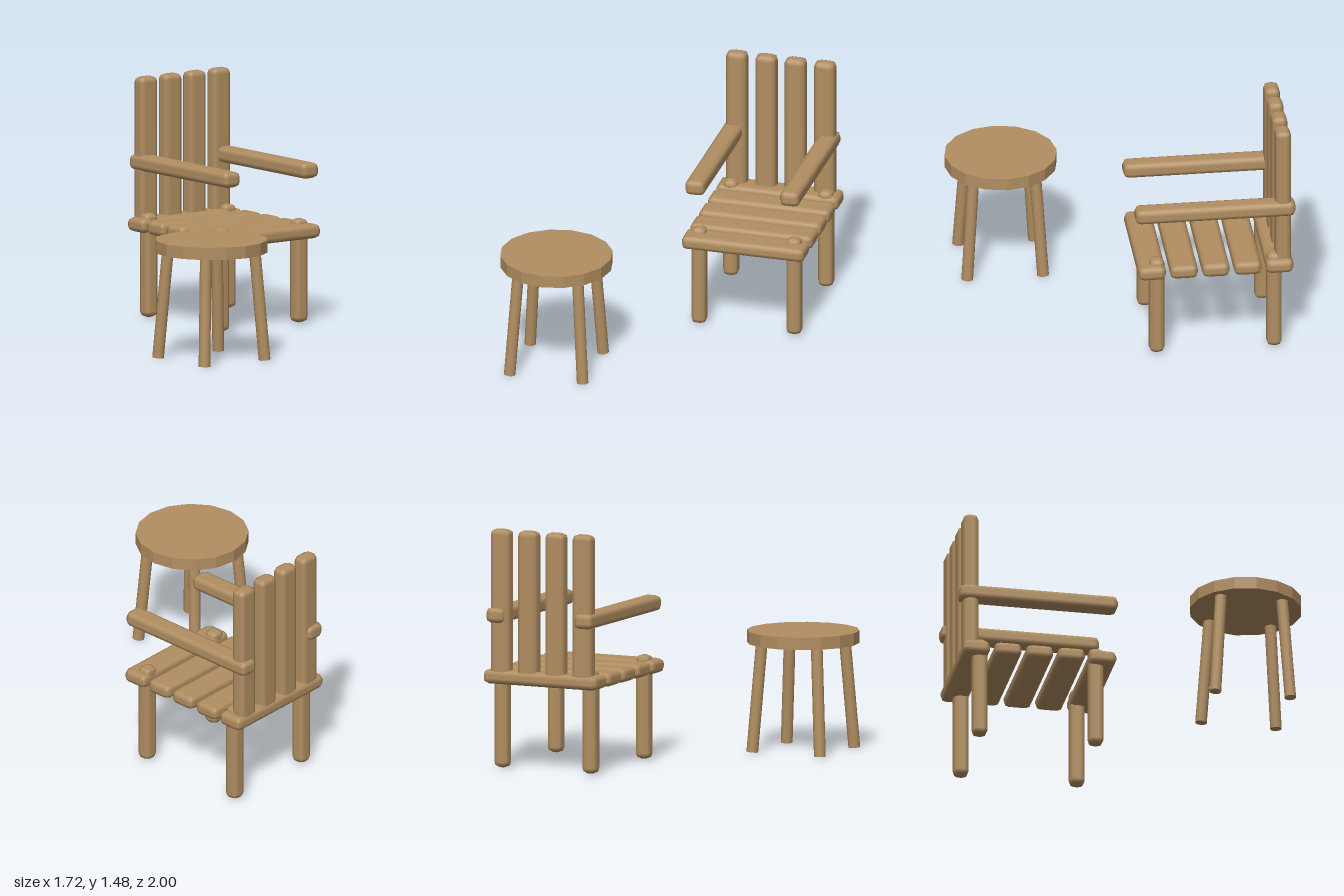
import * as THREE from 'three';
import { RoundedBoxGeometry } from 'three/addons/geometries/RoundedBoxGeometry.js';

export function createModel() {
  const model = new THREE.Group();
  const wood = new THREE.MeshStandardMaterial({ color: 0xb28f62 });
  wood.name = 'wood';
  const flatWood = wood;

  function add(parent, name, geometry, x, y, z) {
    const mesh = new THREE.Mesh(geometry, flatWood);
    mesh.name = name;
    mesh.position.set(x, y, z);
    parent.add(mesh);
    return mesh;
  }

  // Softly bevelled timber board
  const board = (w, h, d, r = 0.034) => new RoundedBoxGeometry(w, h, d, 1, r);

  // ---- Armchair ----
  const chair = new THREE.Group();
  chair.name = 'armchair';
  chair.position.x = 0.466;
  model.add(chair);

  // Legs poke slightly through the seat
  for (const sx of [-1, 1]) {
    for (const [name, z] of [['frontLeg', -0.147], ['backLeg', -0.868]]) {
      add(chair, name, board(0.096, 0.64, 0.094), sx * 0.301, 0.331, z);
    }
    // Armrests run from in front of the seat to behind the back
    add(chair, 'armrest', board(0.125, 0.096, 0.985), sx * 0.3, 0.958, -0.506);
  }

  // Seat slats
  for (let i = 0; i < 5; i++) {
    add(chair, 'seatSlat', board(0.778, 0.088, 0.17), 0, 0.578, -0.113 - i * 0.196);
  }

  // Back slats
  for (let i = 0; i < 4; i++) {
    add(chair, 'backSlat', board(0.134, 0.937, 0.097), (i - 1.5) * 0.186, 1.0185, -0.924);
  }

  // ---- Stool ----
  const stool = new THREE.Group();
  stool.name = 'stool';
  stool.position.set(-0.517, 0, 0.654);
  model.add(stool);

  // Faceted round seat
  const seat = new THREE.CylinderGeometry(0.345, 0.345, 0.076, 16).toNonIndexed();
  seat.computeVertexNormals();
  add(stool, 'stoolSeat', seat, 0, 0.706, 0);

  // Splayed legs
  const up = new THREE.Vector3(0, 1, 0);
  for (const sx of [-1, 1]) {
    for (const sz of [-1, 1]) {
      const foot = new THREE.Vector3(sx * 0.231, 0.006, sz * 0.233);
      const head = new THREE.Vector3(sx * 0.187, 0.69, sz * 0.189);
      const axis = head.clone().sub(foot);
      const mid = foot.clone().add(head).multiplyScalar(0.5);
      const leg = add(stool, 'stoolLeg',
        new THREE.CylinderGeometry(0.036, 0.036, axis.length(), 12), mid.x, mid.y, mid.z);
      leg.quaternion.setFromUnitVectors(up, axis.normalize());
    }
  }

  return model;
}
